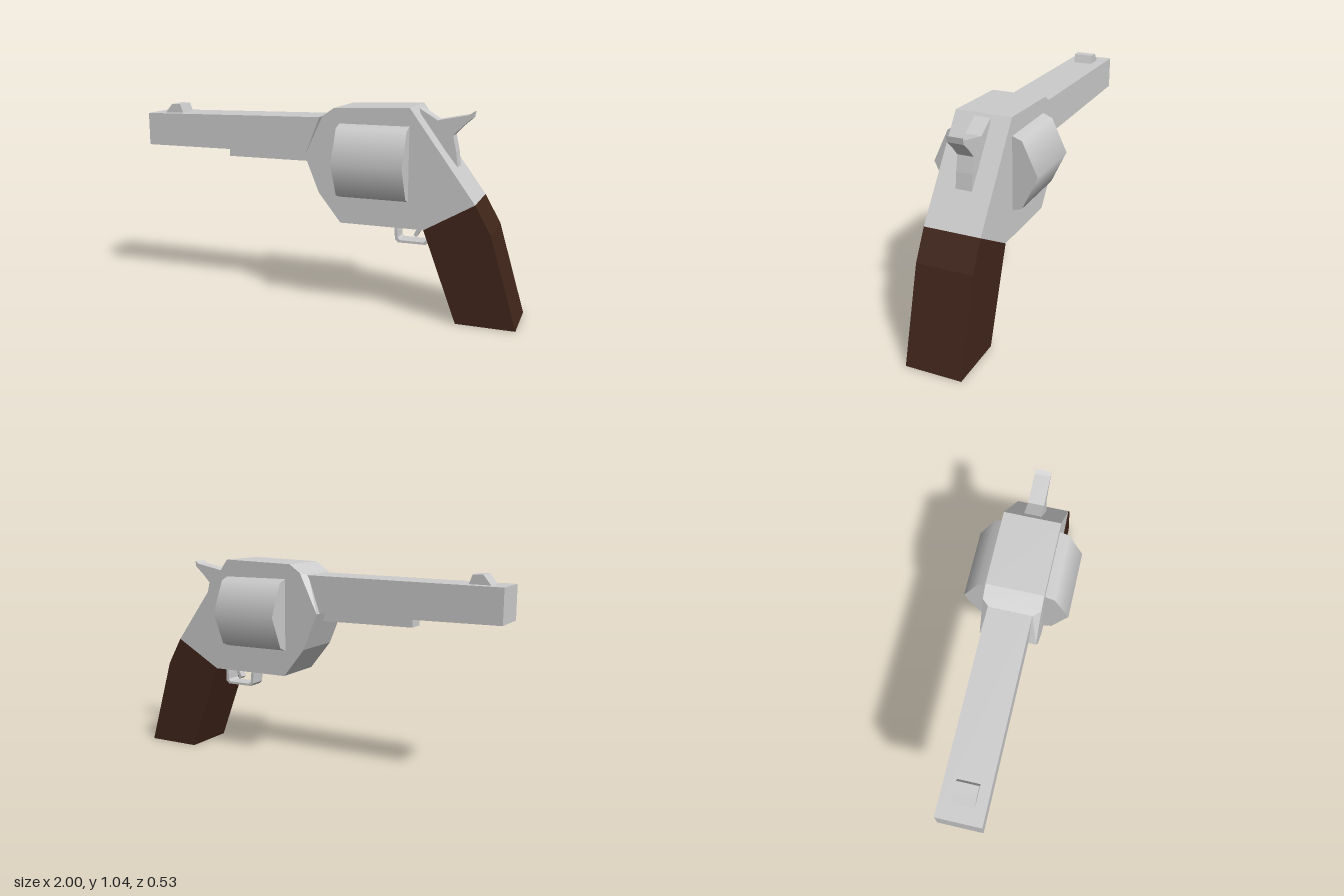
import * as THREE from 'three';
import { ConvexGeometry } from 'three/addons/geometries/ConvexGeometry.js';

const metal = new THREE.MeshStandardMaterial({ color: 0xcccccc, flatShading: true });
const smoothMetal = new THREE.MeshStandardMaterial({ color: 0xcccccc });
const wood = new THREE.MeshStandardMaterial({ color: 0x40251a, flatShading: true });

const toVectors = (points) => points.map(([x, y]) => new THREE.Vector2(x, y));

// Side profile in x/y extruded from z0 to z1
function slab(name, points, z0, z1, material = metal, hole = null) {
  const shape = new THREE.Shape(toVectors(points));
  if (hole) shape.holes.push(new THREE.Path(toVectors(hole)));
  const geometry = new THREE.ExtrudeGeometry(shape, { depth: z1 - z0, bevelEnabled: false });
  geometry.translate(0, 0, z0);
  const mesh = new THREE.Mesh(geometry, material);
  mesh.name = name;
  return mesh;
}

// Solid around points mirrored across z = 0
function mirroredHull(name, points) {
  const both = points.flatMap(([x, y, z]) => [new THREE.Vector3(x, y, z), new THREE.Vector3(x, y, -z)]);
  const mesh = new THREE.Mesh(new ConvexGeometry(both), metal);
  mesh.name = name;
  return mesh;
}

export function createModel() {
  const model = new THREE.Group();
  model.name = 'revolver';

  // Frame and the sloped collar that narrows to the barrel
  model.add(slab('frame', [
    [-0.075, 0.785], [0, 0.6], [0.115, 0.455], [0.54, 0.455],
    [0.785, 0.597], [0.46, 1.04], [0.08, 1.027], [0.02, 0.985],
  ], -0.14, 0.14));
  model.add(mirroredHull('collar', [
    [-0.075, 0.785, 0.14], [0.02, 0.985, 0.14], [-0.01, 0.975, 0.105], [-0.075, 0.785, 0.105],
  ]));

  // Barrel, rod beneath it and front sight
  model.add(slab('barrel', [[-1, 0.787], [0.05, 0.787], [0.05, 0.975], [-1, 0.957]], -0.11, 0.103));
  model.add(slab('underRod', [[-0.545, 0.74], [0, 0.74], [0, 0.8], [-0.545, 0.8]], -0.045, 0.045));
  model.add(slab('frontSight', [
    [-0.93, 0.95], [-0.815, 0.95], [-0.835, 1.005], [-0.885, 1.005],
  ], -0.052, 0.052));

  // Eight-sided drum lying along the barrel
  const drumGeometry = new THREE.CylinderGeometry(0.265, 0.265, 0.353, 8);
  drumGeometry.rotateZ(Math.PI / 2);
  drumGeometry.scale(1, 0.88, 1);
  const drum = new THREE.Mesh(drumGeometry, smoothMetal);
  drum.name = 'drum';
  drum.position.set(0.284, 0.77, 0);
  model.add(drum);

  // Hammer with its raised thumb spur
  model.add(slab('hammer', [
    [0.48, 1.03], [0.5, 0.95], [0.59, 0.86], [0.675, 0.753], [0.665, 0.83], [0.648, 0.905],
    [0.69, 0.95], [0.735, 0.99], [0.74, 1.02], [0.72, 1.005], [0.572, 0.975],
  ], -0.045, 0.035));

  // Trigger and its guard
  model.add(slab('triggerGuard', [
    [0.365, 0.47], [0.373, 0.37], [0.388, 0.355], [0.53, 0.355], [0.547, 0.37], [0.547, 0.47],
  ], -0.045, 0.045, metal, [
    [0.38, 0.462], [0.532, 0.462], [0.532, 0.38], [0.522, 0.367], [0.397, 0.367], [0.387, 0.38],
  ]));
  model.add(slab('trigger', [
    [0.47, 0.47], [0.477, 0.425], [0.462, 0.395], [0.475, 0.383], [0.495, 0.415], [0.498, 0.47],
  ], -0.02, 0.02));

  // Grip
  model.add(slab('grip', [
    [0.54, 0.455], [0.71, 0], [1, 0], [0.865, 0.455], [0.785, 0.597],
  ], -0.14, 0.14, wood));

  return model;
}
